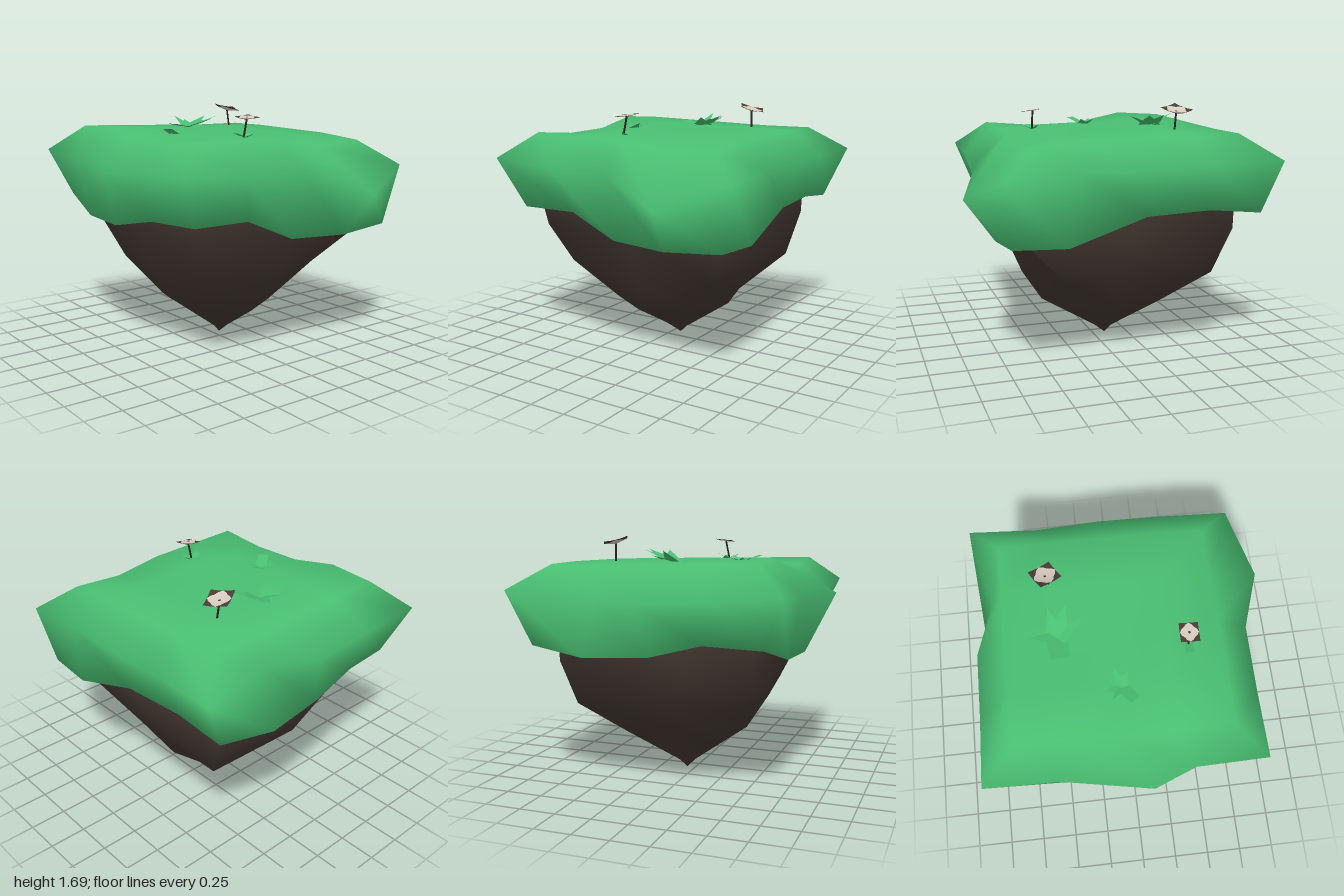
import * as THREE from 'three';

const mat = (name, color, side = THREE.FrontSide) => {
  const m = new THREE.MeshStandardMaterial({ color, side });
  m.name = name;
  return m;
};

function makeGeometry(points, index) {
  const g = new THREE.BufferGeometry();
  g.setAttribute('position', new THREE.Float32BufferAttribute(points.flat(), 3));
  g.setIndex(index);
  g.computeVertexNormals();
  return g;
}

// Joins two closed rings, given as lists of vertex indices (upper, lower)
function bridge(index, up, low) {
  up.forEach((a, i) => {
    const k = (i + 1) % up.length;
    index.push(a, up[k], low[i], up[k], low[k], low[i]);
  });
}

// Grass turf: a 5x5 top grid, a bulging middle ring, a ragged rim and a lip tucked under it
function grassGeometry() {
  const xs = [-0.78, -0.45, -0.1, 0.27, 0.62];
  const zs = [-0.74, -0.39, -0.04, 0.31, 0.66];
  const heights = [
    [1.51, 1.51, 1.5, 1.49, 1.46],
    [1.51, 1.52, 1.51, 1.5, 1.44],
    [1.52, 1.52, 1.51, 1.51, 1.49],
    [1.53, 1.53, 1.51, 1.51, 1.5],
    [1.54, 1.56, 1.49, 1.48, 1.51],
  ];
  // Both rings run back, right, front, left
  const middle = [
    [-0.99, 1.35, -0.97], [-0.53, 1.33, -0.95], [-0.08, 1.33, -0.97], [0.36, 1.33, -0.96],
    [0.83, 1.29, -0.96], [1, 1.13, -0.53], [0.83, 1.3, -0.06], [0.83, 1.3, 0.4],
    [0.83, 1.34, 0.86], [0.36, 1.3, 0.86], [0.08, 1.3, 0.97], [-0.53, 1.33, 0.86],
    [-1, 1.36, 0.86], [-0.99, 1.33, 0.4], [-0.99, 1.3, -0.06], [-0.87, 1.32, -0.4],
  ];
  const rim = [
    [-0.92, 0.99, -0.82], [-0.55, 1.03, -0.83], [-0.1, 1.02, -0.86], [0.42, 0.86, -0.89],
    [0.77, 0.87, -0.87], [0.79, 0.84, -0.47], [0.73, 0.85, -0.05], [0.71, 1, 0.3],
    [0.71, 1, 0.71], [0.3, 0.99, 0.76], [-0.1, 0.91, 0.8], [-0.5, 0.92, 0.78],
    [-0.87, 1.03, 0.73], [-0.92, 1.05, 0.35], [-0.94, 0.96, 0], [-0.98, 0.94, -0.43],
  ];
  const lip = rim.map(([x, y, z]) => [-0.08 + (x + 0.08) * 0.76, y + 0.03, -0.05 + (z + 0.05) * 0.76]);
  const points = [], index = [];
  zs.forEach((z, j) => xs.forEach((x, i) => points.push([x, heights[j][i], z])));
  for (let j = 0; j < 4; j++) for (let i = 0; i < 4; i++) {
    const a = j * 5 + i;
    index.push(a, a + 5, a + 1, a + 1, a + 5, a + 6);
  }
  const edge = [0, 1, 2, 3, 4, 9, 14, 19, 24, 23, 22, 21, 20, 15, 10, 5];
  const ring = (start) => edge.map((_, i) => start + i);
  points.push(...middle, ...rim, ...lip);
  bridge(index, edge, ring(25));
  bridge(index, ring(25), ring(41));
  bridge(index, ring(41), ring(57));
  return makeGeometry(points, index);
}

// Rock: uneven eight-sided rings shrinking to an off-centre tip
function rockGeometry() {
  // Each ring runs back left, back, back right, right, front right, front, front left, left
  const levels = [
    [[-0.78, 1.25, -0.72], [-0.05, 1.25, -0.75], [0.62, 1.25, -0.75], [0.72, 1.25, -0.1],
      [0.68, 1.25, 0.66], [-0.05, 1.25, 0.71], [-0.75, 1.25, 0.66], [-0.83, 1.25, 0.1]],
    [[-0.78, 0.87, -0.7], [-0.05, 0.85, -0.75], [0.58, 0.8, -0.75], [0.69, 0.88, -0.12],
      [0.61, 0.87, 0.6], [-0.05, 0.88, 0.64], [-0.69, 0.86, 0.59], [-0.83, 0.87, 0.2]],
    [[-0.66, 0.56, -0.64], [0.05, 0.57, -0.65], [0.36, 0.56, -0.58], [0.54, 0.53, -0.12],
      [0.49, 0.6, 0.48], [-0.08, 0.59, 0.55], [-0.52, 0.58, 0.49], [-0.72, 0.6, 0.03]],
    [[-0.39, 0.31, -0.39], [-0.05, 0.3, -0.48], [0.2, 0.28, -0.3], [0.37, 0.28, 0],
      [0.26, 0.31, 0.25], [-0.05, 0.33, 0.38], [-0.35, 0.29, 0.27], [-0.47, 0.4, -0.14]],
    [[-0.13, 0.06, -0.1], [-0.08, 0.05, -0.11], [-0.02, 0.06, -0.08], [0, 0.07, -0.05],
      [-0.02, 0.06, -0.02], [-0.08, 0.06, 0], [-0.13, 0.06, -0.02], [-0.15, 0.06, -0.06]],
  ];
  const points = levels.flat(), index = [];
  const ring = (n) => Array.from({ length: 8 }, (_, i) => n * 8 + i);
  for (let n = 0; n < levels.length - 1; n++) bridge(index, ring(n), ring(n + 1));
  const tip = points.push([-0.09, 0, -0.06]) - 1;
  const top = points.push([-0.05, 1.25, -0.02]) - 1;
  const last = (levels.length - 1) * 8;
  for (let i = 0; i < 8; i++) {
    const k = (i + 1) % 8;
    index.push(last + i, last + k, tip, k, i, top);
  }
  return makeGeometry(points, index);
}

// Fan of 16 slices whose radius follows a rule, cupped upwards like a shallow cone
function petalGeometry(radius, cup, lift) {
  const points = [[0, lift, 0]], index = [];
  for (let i = 0; i < 16; i++) {
    const t = (i / 16) * Math.PI * 2, r = radius(t);
    points.push([Math.cos(t) * r, lift + cup * r, Math.sin(t) * r]);
    index.push(0, ((i + 1) % 16) + 1, i + 1);
  }
  return makeGeometry(points, index);
}

// Flat blade from a base point to a tip; tipWidth 0 makes it pointed
function bladeGeometry(base, tip, width, tipWidth) {
  const dx = tip[0] - base[0], dz = tip[2] - base[2], n = Math.hypot(dx, dz) * 2;
  const at = (p, w) => [p[0] + (dz / n) * w, p[1], p[2] - (dx / n) * w];
  return makeGeometry(
    [at(base, width), at(base, -width), at(tip, -tipWidth), at(tip, tipWidth)],
    [0, 2, 1, 0, 3, 2]);
}

export function createModel() {
  const island = new THREE.Group();
  island.name = 'floatingIsland';
  const grass = mat('grassGreen', 0x49be72, THREE.DoubleSide);
  const rock = mat('darkRock', 0x40352f);
  const petal = mat('petalBrown', 0x4a3b36, THREE.DoubleSide);
  const cream = mat('petalCream', 0xd6cabe, THREE.DoubleSide);
  const stemDark = mat('stemDark', 0x2c2320);

  const add = (parent, name, geometry, material) => {
    const mesh = new THREE.Mesh(geometry, material);
    mesh.name = name;
    parent.add(mesh);
  };

  add(island, 'grassTurf', grassGeometry(), grass);
  add(island, 'rock', rockGeometry(), rock);

  // Flowers: leaning stem, square dark plate, cream centre on both faces and a dark eye
  const flowers = [
    { foot: [-0.46, 1.5, -0.43], head: [-0.475, 1.635, -0.42], half: 0.08, cup: 0.22, turn: 0.5, tilt: [-0.27, 0] },
    { foot: [0.4, 1.49, 0.1], head: [0.4, 1.63, 0.07], half: 0.063, cup: 0.06, turn: 0, tilt: [0.08, -0.12] },
  ];
  for (const f of flowers) {
    const flower = new THREE.Group();
    flower.name = 'flower';
    island.add(flower);
    const path = new THREE.LineCurve3(new THREE.Vector3(...f.foot), new THREE.Vector3(...f.head));
    add(flower, 'stem', new THREE.TubeGeometry(path, 1, 0.007, 5), stemDark);
    const head = new THREE.Group();
    head.name = 'flowerHead';
    head.position.set(...f.head);
    head.rotation.set(f.tilt[0], f.turn, f.tilt[1]);
    flower.add(head);
    const square = (t) => f.half / Math.max(Math.abs(Math.cos(t)), Math.abs(Math.sin(t)));
    const lobed = (t) => f.half * (0.87 + 0.12 * Math.cos(4 * t));
    add(head, 'petals', petalGeometry(square, f.cup, 0), petal);
    for (const lift of [0.002, -0.002]) add(head, 'creamCentre', petalGeometry(lobed, f.cup, lift), cream);
    add(head, 'flowerEye', petalGeometry(() => 0.009, f.cup, 0.004), petal);
  }

  // Grass tufts: each blade is tip x, y, z, base width, tip width
  const tufts = [
    { base: [-0.44, 1.52, -0.03], blades: [
      [-0.62, 1.6, -0.02, 0.1, 0], [-0.61, 1.57, -0.11, 0.12, 0], [-0.48, 1.6, -0.21, 0.16, 0],
      [-0.36, 1.6, -0.23, 0.16, 0], [-0.26, 1.59, -0.12, 0.14, 0], [-0.43, 1.57, -0.13, 0.14, 0.13],
      [-0.43, 1.55, 0.12, 0.14, 0.13]] },
    { base: [-0.06, 1.505, 0.34], blades: [
      [-0.1, 1.55, 0.22, 0.08, 0], [-0.01, 1.55, 0.25, 0.09, 0], [-0.17, 1.54, 0.37, 0.08, 0],
      [-0.16, 1.54, 0.28, 0.06, 0], [-0.13, 1.54, 0.43, 0.06, 0], [0.015, 1.55, 0.45, 0.08, 0.07]] },
    { base: [0.4, 1.5, 0.08], blades: [
      [0.4, 1.53, 0.165, 0.06, 0.06], [0.32, 1.53, 0.09, 0.07, 0], [0.47, 1.53, 0.06, 0.05, 0],
      [0.37, 1.54, 0.02, 0.05, 0]] },
  ];
  for (const t of tufts) {
    const tuft = new THREE.Group();
    tuft.name = 'grassTuft';
    island.add(tuft);
    for (const [x, y, z, w, tw] of t.blades) add(tuft, 'blade', bladeGeometry(t.base, [x, y, z], w, tw), grass);
  }
  return island;
}
